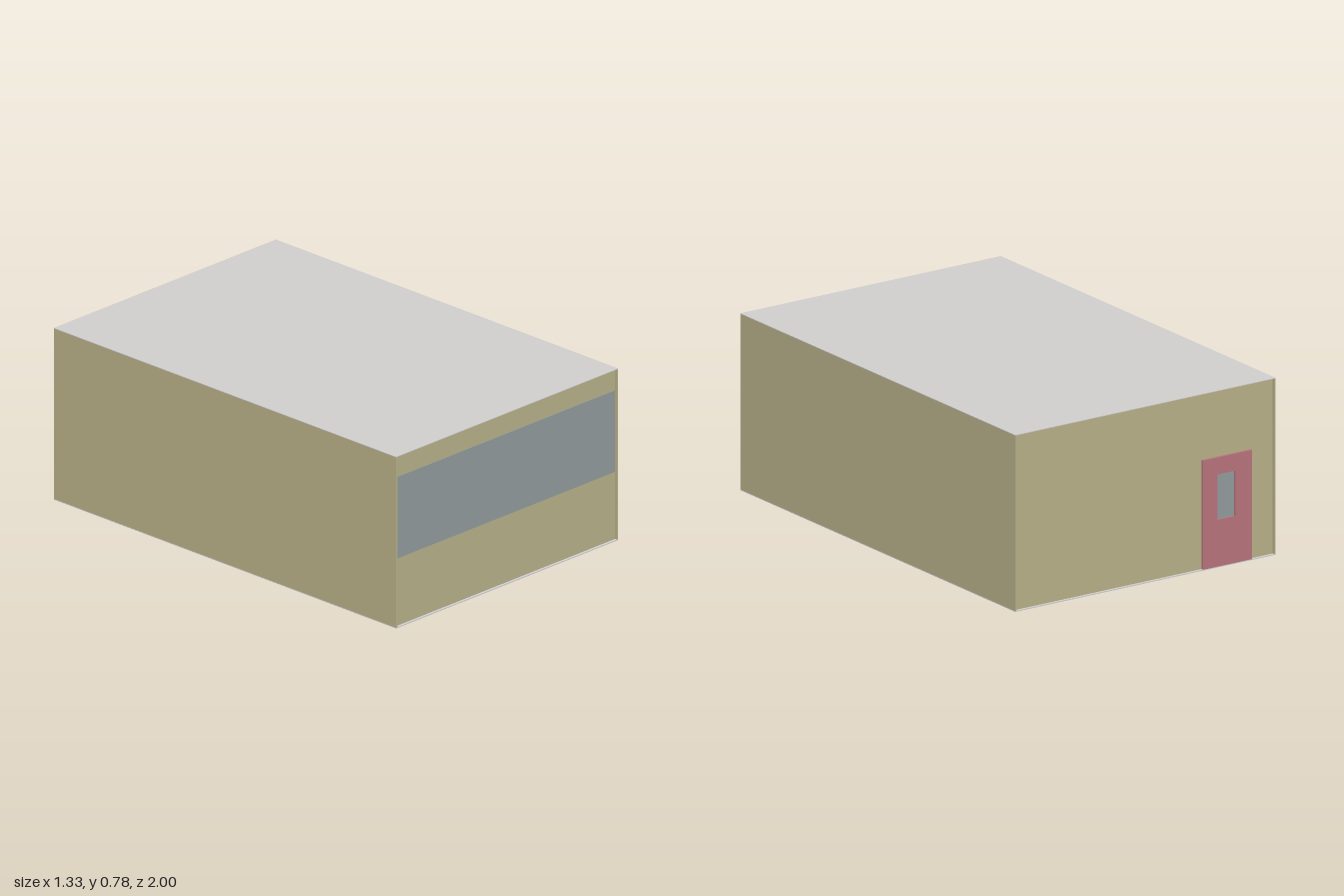
import * as THREE from 'three';

const W = 1.334, H = 0.78, L = 2, T = 0.007, INSET = 0.012;

export function createModel() {
  const mat = (name, color) => {
    const m = new THREE.MeshStandardMaterial({ color });
    m.name = name;
    return m;
  };
  const wallPaint = mat('wall khaki', 0xb8b189);
  const roofGrey = mat('roof and floor grey', 0xd0cecc);
  const glass = mat('window glass', 0x929b9e);
  const doorRed = mat('door red', 0xb8747c);

  const room = new THREE.Group();
  room.name = 'room';

  // Box given by its lower and upper corners
  const slab = (name, material, x0, x1, y0, y1, z0, z1) => {
    const mesh = new THREE.Mesh(new THREE.BoxGeometry(x1 - x0, y1 - y0, z1 - z0), material);
    mesh.position.set((x0 + x1) / 2, (y0 + y1) / 2, (z0 + z1) / 2);
    mesh.name = name;
    room.add(mesh);
    return mesh;
  };

  const hx = W / 2, hz = L / 2, e = hz - INSET;

  // Floor and roof panels
  slab('floor', roofGrey, -hx, hx, 0, 0.004, -hz, hz);
  slab('roof', roofGrey, -hx, hx, H - 0.003, H, -hz, hz);

  // Long side walls
  slab('rightWall', wallPaint, -hx, -hx + T, 0.004, H - 0.003, -hz, hz);
  slab('leftWall', wallPaint, hx - T, hx, 0.004, H - 0.003, -hz, hz);

  // End walls, set slightly back between the side walls
  slab('frontWall', wallPaint, -hx + T, hx - T, 0.004, H - 0.003, e - 0.01, e);
  slab('backWall', wallPaint, -hx + T, hx - T, 0.004, H - 0.003, -e, -e + 0.01);

  // Wide front window, glazed inside and out
  slab('frontWindow', glass, -hx + T, hx - T - 0.003, 0.31, 0.68, e - 0.012, e + 0.002);

  // Back door with a cut-out for its window
  const shape = new THREE.Shape();
  shape.moveTo(-0.545, 0.004).lineTo(-0.295, 0.004).lineTo(-0.295, 0.485).lineTo(-0.545, 0.485).closePath();
  const hole = new THREE.Path();
  hole.moveTo(-0.46, 0.21).lineTo(-0.46, 0.41).lineTo(-0.37, 0.41).lineTo(-0.37, 0.21).closePath();
  shape.holes.push(hole);
  const door = new THREE.Mesh(
    new THREE.ExtrudeGeometry(shape, { depth: INSET, bevelEnabled: false }), doorRed);
  door.position.z = -hz;
  door.name = 'door';
  room.add(door);
  slab('doorWindow', glass, -0.46, -0.37, 0.21, 0.41, -e - 0.003, -e);

  return room;
}
